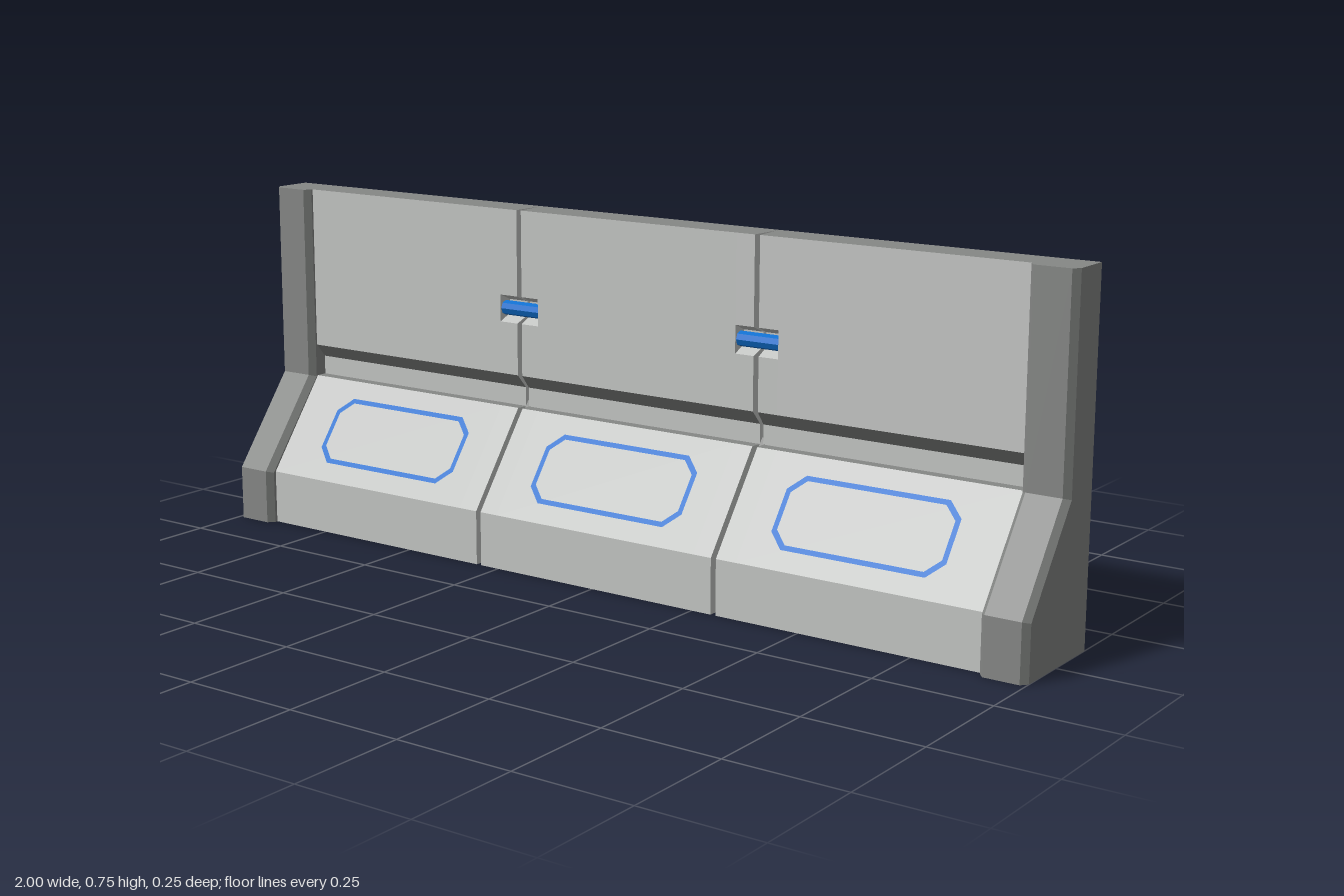
import * as THREE from 'three';

const mat = (name, color) => Object.assign(new THREE.MeshStandardMaterial({ color }), { name });

export function createModel() {
  const light = mat('light grey', 0xc4c6c4);
  const dark = mat('dark grey', 0x868886);
  const blue = mat('blue', 0x0f70d0);
  const model = new THREE.Group();

  const add = (name, geo, material) => {
    const mesh = new THREE.Mesh(geo, material);
    mesh.name = name;
    model.add(mesh);
    return mesh;
  };

  // extrude a (z, y) side profile along x from x0 to x1
  const extrudeX = (points, x0, x1, steps = 1) => {
    const shape = new THREE.Shape(points.map(([z, y]) => new THREE.Vector2(z, y)));
    const geo = new THREE.ExtrudeGeometry(shape, { depth: x1 - x0, steps, bevelEnabled: false });
    return geo.rotateY(-Math.PI / 2).translate(x1, 0, 0);
  };

  // one material group per triangle: dark where the test on its normal holds
  const paint = (geo, isDark) => {
    const n = geo.attributes.normal;
    geo.clearGroups();
    for (let i = 0; i < n.count; i += 3) {
      geo.addGroup(i, 3, isDark(n.getY(i), n.getZ(i)) ? 1 : 0);
    }
    return geo;
  };

  // back plate closing the gaps between the panels; light back and underside
  const plate = new THREE.BoxGeometry(2, 0.75, 0.006).toNonIndexed().translate(0, 0.375, -0.122);
  add('backPlate', paint(plate, (ny, nz) => nz > -0.5 && ny > -0.5), [light, dark]);

  // wall profiles: plain, and notched for the handle pockets
  const lower = [[-0.119, 0], [0.105, 0], [0.105, 0.118], [-0.043, 0.318],
    [-0.068, 0.318], [-0.068, 0.36], [-0.043, 0.39]];
  const notch = [[-0.043, 0.504], [-0.075, 0.518], [-0.075, 0.549], [-0.043, 0.563]];
  const upper = [[-0.043, 0.75], [-0.119, 0.75]];
  const plain = [...lower, ...upper];
  const notched = [...lower, ...notch, ...upper];

  const wall = (name, profile, x0, x1) => {
    const geo = extrudeX(profile, x0, x1);
    const p = geo.attributes.position;
    // taper the joint edges so the gap narrows towards the back
    for (let i = 0; i < p.count; i++) {
      const x = p.getX(i);
      if (Math.abs(Math.abs(x) - 0.302) > 0.001) continue;
      const gap = THREE.MathUtils.clamp((p.getZ(i) + 0.119) / 0.076, 0, 1) * 0.006;
      const outward = Math.abs((x0 + x1) / 2) > 0.302 ? 1 : -1;
      p.setX(i, x + Math.sign(x) * outward * gap);
    }
    geo.computeVertexNormals();
    // dark top faces and dark slanted underside of the upper panel
    add(name, paint(geo, (ny) => ny > 0.99 || (ny < -0.5 && ny > -0.8)), [light, dark]);
  };
  wall('centrePanel', plain, -0.252, 0.252);
  for (const s of [-1, 1]) {
    const span = (name, profile, a, b) => wall(name, profile, Math.min(s * a, s * b), Math.max(s * a, s * b));
    span('centrePanelEdge', notched, 0.252, 0.302);
    span('sidePanelEdge', notched, 0.302, 0.354);
    span('sidePanel', plain, 0.354, 0.9);
  }

  // dark filler set back inside each joint
  const filler = [[-0.119, 0.004], [0.088, 0.004], [0.088, 0.11], [-0.076, 0.33], [-0.076, 0.745], [-0.119, 0.745]];
  for (const x of [-0.302, 0.302]) add('jointFiller', extrudeX(filler, x - 0.008, x + 0.008), dark);

  // end posts with chamfered front edges
  const postProfile = [[-0.119, 0], [0.125, 0], [0.125, 0.12], [-0.025, 0.32], [-0.025, 0.75], [-0.119, 0.75]];
  for (const s of [-1, 1]) {
    const geo = extrudeX(postProfile, -0.05, 0.05, 3);
    const p = geo.attributes.position;
    for (let i = 0; i < p.count; i++) {
      const x = p.getX(i);
      if (Math.abs(x) < 0.04) {
        p.setX(i, Math.sign(x) * 0.038);
      } else if (p.getZ(i) > -0.1) {
        p.setZ(i, p.getZ(i) - 0.014);
        if (p.getY(i) > 0.05 && p.getY(i) < 0.4) p.setY(i, p.getY(i) - 0.004);
      }
    }
    geo.computeVertexNormals();
    paint(geo, (ny) => ny > -0.99);
    add(s > 0 ? 'leftPost' : 'rightPost', geo.translate(s * 0.95, 0, 0), [light, dark]);
  }

  // handle bars in the pockets
  for (const s of [-1, 1]) {
    const bar = new THREE.CylinderGeometry(0.016, 0.016, 0.1, 8).toNonIndexed();
    bar.computeVertexNormals();
    bar.rotateZ(Math.PI / 2);
    add('handleBar', bar, blue).position.set(s * 0.303, 0.533, -0.06);
  }

  // flat blue outlines with cut corners on the sloped faces
  const octagon = (w, h, c) => [[w - c, -h], [w, c - h], [w, h - c], [w - c, h],
    [c - w, h], [-w, h - c], [-w, c - h], [c - w, -h]].map(([x, y]) => new THREE.Vector2(x, y));
  const ring = new THREE.Shape(octagon(0.194, 0.081, 0.034));
  ring.holes.push(new THREE.Path(octagon(0.183, 0.07, 0.029)));
  const outline = new THREE.ShapeGeometry(ring);
  for (const x of [-0.603, 0, 0.603]) {
    const mesh = add('panelOutline', outline, blue);
    mesh.position.set(x, 0.219, 0.0325);
    mesh.rotation.x = -Math.atan2(0.148, 0.2);
  }

  return model;
}
